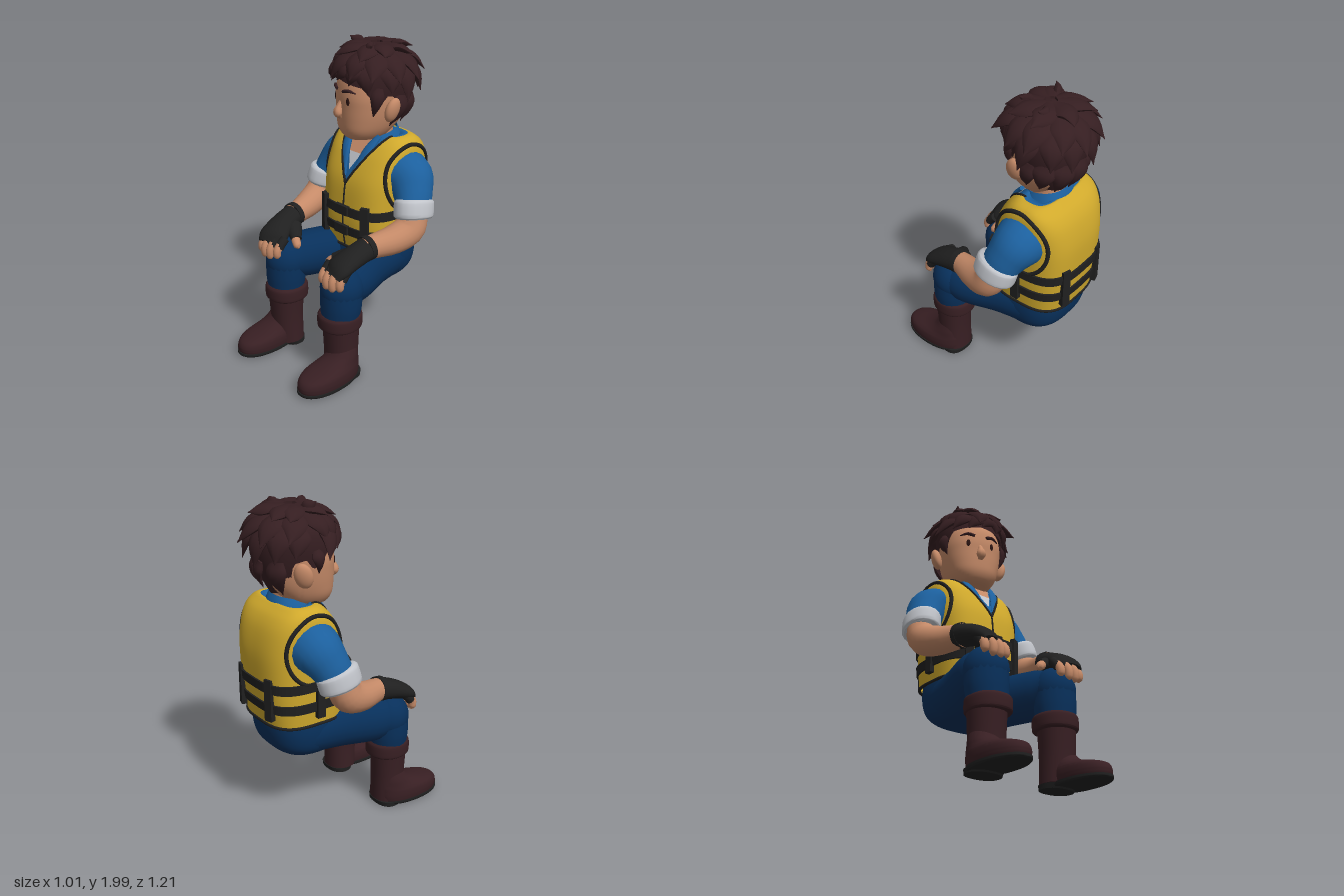
import * as THREE from 'three';
import { toCreasedNormals } from 'three/addons/utils/BufferGeometryUtils.js';

const V = (x, y, z) => new THREE.Vector3(x, y, z);
const mat = (name, color) => new THREE.MeshStandardMaterial({ name, color, side: THREE.DoubleSide });

// Catmull-Rom through rows of numbers, t in 0..1
function rowAt(rows, t) {
  const s = THREE.MathUtils.clamp(t, 0, 1) * (rows.length - 1);
  const i = Math.min(Math.floor(s), rows.length - 2), u = s - i;
  const a = rows[Math.max(i - 1, 0)], b = rows[i], c = rows[i + 1], d = rows[Math.min(i + 2, rows.length - 1)];
  return b.map((_, k) => 0.5 * (2 * b[k] + (c[k] - a[k]) * u + (2 * a[k] - 5 * b[k] + 4 * c[k] - d[k]) * u * u
    + (3 * b[k] - a[k] - 3 * c[k] + d[k]) * u * u * u));
}

// Rounded-box cross-sections stacked in y; rows are [y, halfWidth, zFront, zBack], phi runs from the front to +x
const stack = (rows, n = 2.4, cx = 0) => (phi, t, off = 0) => {
  const [y, rx, zf, zb] = rowAt(rows, t), rz = Math.max((zf - zb) / 2, 1e-4);
  const s = Math.sin(phi), c = Math.cos(phi);
  const r = (Math.abs(s / Math.max(rx, 1e-4)) ** n + Math.abs(c / rz) ** n) ** (-1 / n) + off;
  return V(cx + r * s, y, (zf + zb) / 2 + r * c);
};

// Height to parameter, for a stack
function tAt(f, y) {
  let a = 0, b = 1;
  for (let i = 0; i < 24; i++) {
    const m = (a + b) / 2;
    if (f(0, m).y < y) a = m; else b = m;
  }
  return a;
}

// Skin over closed rings of points, with optional end caps
function skin(rings, cap = true, crease = 0.9) {
  const all = rings.slice(), n = rings[0].length;
  const middle = (r) => {
    const c = r.reduce((s, p) => s.add(p), V(0, 0, 0)).divideScalar(n);
    return r.map(() => c);
  };
  if (cap) { all.unshift(middle(rings[0])); all.push(middle(rings[rings.length - 1])); }
  const idx = [];
  for (let j = 0; j < all.length - 1; j++) for (let i = 0; i < n; i++) {
    const a = j * n + i, b = j * n + (i + 1) % n;
    idx.push(a, b, b + n, a, b + n, a + n);
  }
  const g = new THREE.BufferGeometry().setFromPoints(all.flat());
  g.setIndex(idx);
  return toCreasedNormals(g, crease);
}

function sheet(f, { t0 = () => 0, t1 = () => 1, nu = 64, nv = 24, off = 0, cap = false } = {}) {
  const rings = [];
  for (let j = 0; j <= nv; j++) rings.push(Array.from({ length: nu }, (_, i) => {
    const phi = i / nu * Math.PI * 2;
    return f(phi, THREE.MathUtils.lerp(t0(phi), t1(phi), j / nv), off);
  }));
  return skin(rings, cap);
}

// Tapered limb along a curve; radii are [sideways, along up]
function limb(pts, radii, up = V(0, 1, 0), seg = 14, sides = 20) {
  const curve = new THREE.CatmullRomCurve3(pts), rings = [];
  for (let j = 0; j <= seg; j++) {
    const t = j / seg, p = curve.getPoint(t), T = curve.getTangent(t);
    const S = up.clone().cross(T).normalize(), N = T.clone().cross(S);
    const [w, h] = rowAt(radii, t);
    rings.push(Array.from({ length: sides }, (_, i) => {
      const a = i / sides * Math.PI * 2;
      return p.clone().addScaledVector(S, w * Math.cos(a)).addScaledVector(N, h * Math.sin(a));
    }));
  }
  return skin(rings);
}

const tube = (pts, r, closed = true) =>
  new THREE.TubeGeometry(new THREE.CatmullRomCurve3(pts, closed), pts.length * 2, r, 8, closed);

export function createModel() {
  const model = new THREE.Group();
  const M = {
    skin: mat('skin', 0xc58a68), hair: mat('dark brown hair', 0x351e21), vest: mat('yellow vest', 0xd0a92c),
    shirt: mat('blue shirt', 0x1c609e), trousers: mat('navy trousers', 0x08305b), cloth: mat('pale cloth', 0xc1c4ca),
    black: mat('black webbing', 0x202020), boot: mat('brown leather', 0x381f23), eye: mat('eye brown', 0x2c1512),
  };
  let parent = model;
  const add = (name, geo, m) => {
    const mesh = new THREE.Mesh(geo, m);
    mesh.name = name;
    parent.add(mesh);
    return mesh;
  };
  const ball = (name, m, p, r) => {
    const b = add(name, new THREE.SphereGeometry(1, 24, 16), m);
    b.position.set(...p);
    b.scale.set(...r);
    return b;
  };
  const ring = (f, n = 72) => Array.from({ length: n }, (_, i) => f(i / n * Math.PI * 2));

  // Vest, cut open in a V at the neck
  const torso = stack([[0.7, 0.265, -0.05, -0.555], [0.85, 0.275, -0.03, -0.575], [1, 0.28, -0.035, -0.585],
    [1.15, 0.285, -0.055, -0.585], [1.28, 0.29, -0.11, -0.56], [1.36, 0.282, -0.165, -0.52],
    [1.405, 0.255, -0.215, -0.47], [1.42, 0.205, -0.25, -0.44], [1.395, 0.155, -0.26, -0.42]], 3.2);
  const neckT = (phi) => {
    if (Math.cos(phi) <= 0) return 1;
    for (let t = 0.3; t < 1; t += 0.002) {
      const p = torso(phi, t);
      if (p.y > 1.13 && Math.abs(p.x) < 0.16 * (p.y - 1.13) / 0.27) return t;
    }
    return 1;
  };
  add('vest', sheet(torso, { t1: neckT, nu: 144, nv: 40 }), M.vest);
  add('vestNeckPiping', tube(ring((a) => torso(a, neckT(a)), 96), 0.008), M.black);
  add('vestHem', tube(ring((a) => torso(a, 0)), 0.01), M.black);
  add('zip', tube(Array.from({ length: 12 }, (_, i) => torso(0, i / 11 * neckT(0))), 0.006, false), M.black);
  const bodyT = (y) => {
    let t = 0;
    while (t < 0.8 && torso(0, t).y < y) t += 0.004;
    return t;
  };

  // Webbing belts, upright straps and buckles
  for (const [y0, y1] of [[0.925, 0.98], [0.795, 0.85]]) {
    const edge = (y, o) => ring((a) => torso(a, bodyT(y), o), 96);
    add('belt', skin([edge(y0, -0.01), edge(y0, 0.012), edge(y1, 0.012), edge(y1, -0.01)], false, 0.5), M.black);
  }
  const onVest = (name, phi, y, size) => {
    const t = bodyT(y), p = torso(phi, t, 0.006), d = torso(phi + 0.02, t).sub(torso(phi - 0.02, t));
    const b = add(name, new THREE.BoxGeometry(...size), M.black);
    b.position.copy(p);
    b.rotation.y = Math.atan2(-d.z, d.x);
  };
  for (const phi of [0.6, Math.PI / 2, Math.PI - 0.52]) for (const s of [1, -1]) onVest('uprightStrap', s * phi, 0.88, [0.052, 0.26, 0.034]);
  for (const y of [0.958, 0.824]) onVest('buckle', 0, y, [0.11, 0.06, 0.036]);

  // Shirt body, open throat, undershirt and collar
  add('shirtBody', sheet(torso, { t0: () => 0.3, off: -0.02 }), M.shirt);
  const panel = (name, m, ...pts) => add(name, new THREE.BufferGeometry().setFromPoints(pts), m).geometry.computeVertexNormals();
  const [a0, b0, a1, b1] = [V(-0.05, 1.31, -0.136), V(0.05, 1.31, -0.136), V(-0.09, 1.4, -0.209), V(0.09, 1.4, -0.209)];
  panel('undershirt', M.cloth, V(0, 1.21, -0.08), b0, a0);
  panel('throat', M.skin, a0, b0, b1, a0, b1, a1);
  const collar = stack([[1.36, 0.155, -0.2, -0.46], [1.41, 0.135, -0.21, -0.455], [1.46, 0.115, -0.22, -0.435]]);
  add('collar', sheet(collar, { t0: (a) => 0.25 + 0.25 * Math.cos(a), t1: (a) => 0.75 - 0.25 * Math.cos(a), nv: 8 }), M.shirt);
  add('neck', limb([V(0, 1.28, -0.35), V(0, 1.4, -0.32), V(0, 1.52, -0.3)], [[0.1, 0.1], [0.1, 0.105], [0.11, 0.11]], V(0, 0, 1)), M.skin);

  // Seat of the trousers
  add('hips', sheet(stack([[0.455, 0.13, -0.06, -0.37], [0.47, 0.2, -0.05, -0.44], [0.53, 0.25, -0.045, -0.505],
    [0.63, 0.268, -0.045, -0.53], [0.75, 0.255, -0.06, -0.53]], 2.8), { cap: true }), M.trousers);

  for (const s of [1, -1]) {
    const side = s > 0 ? 'left' : 'right';
    const P = (x, y, z) => V(s * x, y, z), Z = V(0, 0, 1), X = V(1, 0, 0);
    parent = new THREE.Group();
    parent.name = side + 'Limbs';
    model.add(parent);

    // Armhole, sleeve and rolled cuff
    add('collarFlap', limb([P(0.12, 1.425, -0.22), P(0.088, 1.335, -0.145), P(0.022, 1.17, -0.066)],
      [[0.02, 0.012], [0.03, 0.012], [0.01, 0.006]], V(0, 0.5, 1)), M.shirt);
    add('armholePiping', tube(ring((a) => {
      const y = 1.17 + 0.21 * Math.sin(a), z = -0.325 + 0.185 * Math.cos(a), t = bodyT(y);
      const f = torso(0, t).z, b = torso(Math.PI, t).z, w = torso(Math.PI / 2, t).x;
      return P(w * Math.max(1 - Math.abs((z - (f + b) / 2) / ((f - b) / 2)) ** 3.2, 0.05) ** (1 / 3.2), y, z);
    }, 32), 0.013), M.black);
    add('sleeve', limb([P(0.17, 1.185, -0.325), P(0.28, 1.17, -0.32), P(0.345, 1.1, -0.288), P(0.39, 1.01, -0.25)],
      [[0.175, 0.175], [0.155, 0.153], [0.12, 0.126], [0.096, 0.114]], Z), M.shirt);
    add('cuff', limb([P(0.382, 1.075, -0.263), P(0.386, 1.06, -0.259), P(0.402, 0.98, -0.241), P(0.405, 0.966, -0.238)],
      [[0.096, 0.122], [0.107, 0.136], [0.107, 0.136], [0.094, 0.122]], Z), M.cloth);

    // Forearm, fingerless glove and fingers
    add('forearm', limb([P(0.4, 1.0, -0.24), P(0.407, 0.91, -0.2), P(0.385, 0.865, -0.09), P(0.345, 0.85, 0.05), P(0.335, 0.845, 0.11)],
      [[0.09, 0.09], [0.098, 0.095], [0.09, 0.088], [0.075, 0.07], [0.072, 0.065]], X), M.skin);
    add('gloveRim', limb([P(0.337, 0.852, 0.07), P(0.334, 0.848, 0.105)], [[0.078, 0.076], [0.08, 0.076]]), M.black);
    add('glove', limb([P(0.336, 0.85, 0.085), P(0.325, 0.82, 0.19), P(0.303, 0.775, 0.285), P(0.29, 0.735, 0.325)],
      [[0.077, 0.07], [0.083, 0.062], [0.1, 0.05], [0.088, 0.034]]), M.black);
    for (const [i, x] of [0.362, 0.314, 0.264, 0.213].entries()) {
      const d = i === 0 || i === 3 ? 0.015 : 0;
      add('fingerSleeve', limb([P(x, 0.775, 0.285 - d), P(x, 0.745, 0.318 - d), P(x, 0.722, 0.335 - d)],
        [[0.03, 0.03], [0.03, 0.03], [0.03, 0.03]], Z, 6, 12), M.black);
      add('finger', limb([P(x, 0.75, 0.32 - d), P(x, 0.71, 0.35 - d), P(x, 0.66 + d, 0.35 - d), P(x, 0.642 + d, 0.342 - d)],
        [[0.025, 0.025], [0.027, 0.026], [0.024, 0.023], [0.007, 0.007]], Z, 10, 12), M.skin);
    }
    add('thumbSleeve', limb([P(0.27, 0.81, 0.15), P(0.215, 0.785, 0.185), P(0.175, 0.762, 0.207)],
      [[0.052, 0.042], [0.044, 0.037], [0.034, 0.033]]), M.black);
    add('thumb', limb([P(0.2, 0.775, 0.2), P(0.165, 0.752, 0.217), P(0.142, 0.732, 0.226), P(0.131, 0.722, 0.228)],
      [[0.028, 0.028], [0.028, 0.028], [0.023, 0.023], [0.007, 0.007]], undefined, 10, 12), M.skin);

    // Trouser leg, bent at the knee
    add('thigh', limb([P(0.13, 0.61, -0.36), P(0.165, 0.61, -0.1), P(0.235, 0.61, 0.12), P(0.255, 0.61, 0.24)],
      [[0.13, 0.15], [0.14, 0.155], [0.14, 0.152], [0.12, 0.125]]), M.trousers);
    ball('knee', M.trousers, [s * 0.26, 0.605, 0.222], [0.132, 0.146, 0.138]);
    add('shin', limb([P(0.26, 0.62, 0.225), P(0.26, 0.5, 0.23), P(0.257, 0.4, 0.235)],
      [[0.128, 0.132], [0.128, 0.128], [0.118, 0.118]], Z), M.trousers);

    // Boot
    add('bootCuff', sheet(stack([[0.345, 0.122, 0.358, 0.105], [0.36, 0.13, 0.37, 0.097], [0.42, 0.13, 0.37, 0.097],
      [0.44, 0.12, 0.36, 0.107]], 2.2, s * 0.253), { cap: true }), M.boot);
    add('bootShaft', sheet(stack([[0.03, 0.108, 0.33, 0.13], [0.2, 0.105, 0.335, 0.13], [0.37, 0.112, 0.345, 0.122]], 2.2, s * 0.262), { cap: true }), M.boot);
    add('bootFoot', sheet(stack([[0.025, 0.112, 0.59, 0.15], [0.06, 0.117, 0.597, 0.145], [0.1, 0.114, 0.578, 0.145],
      [0.122, 0.105, 0.52, 0.145], [0.143, 0.095, 0.43, 0.15], [0.175, 0.085, 0.355, 0.155], [0.22, 0.07, 0.31, 0.16]],
      2.2, s * 0.297), { cap: true }), M.boot);
    add('sole', sheet(stack([[0.01, 0.113, 0.59, 0.16], [0.018, 0.118, 0.6, 0.15], [0.034, 0.118, 0.6, 0.15]], 2.2, s * 0.297), { nv: 6, cap: true }), M.black);
    add('heel', sheet(stack([[0, 0.11, 0.29, 0.132], [0.03, 0.112, 0.31, 0.126]], 2.4, s * 0.268), { nv: 3, cap: true }), M.black);
  }

  // Head, turned slightly to its right
  const head = new THREE.Group();
  head.name = 'head';
  head.position.set(-0.005, 0, -0.3);
  head.rotation.y = -0.3;
  model.add(head);
  parent = head;
  const face = stack([[1.385, 0.06, 0.15, 0], [1.4, 0.11, 0.195, -0.05], [1.45, 0.15, 0.225, -0.1], [1.52, 0.175, 0.233, -0.16],
    [1.6, 0.19, 0.235, -0.19], [1.68, 0.195, 0.235, -0.2], [1.78, 0.18, 0.21, -0.2], [1.86, 0.12, 0.13, -0.16], [1.9, 0.01, 0.01, -0.03]]);
  add('face', sheet(face, { cap: true, nv: 32 }), M.skin);
  add('nose', limb([V(0, 1.64, 0.222), V(0, 1.6, 0.237), V(0, 1.56, 0.25), V(0, 1.53, 0.232)],
    [[0.012, 0.012], [0.02, 0.022], [0.031, 0.028], [0.014, 0.012]], V(0, 0, 1)), M.skin);
  for (const s of [1, -1]) {
    ball('ear', M.skin, [s * 0.224, 1.605, 0], [0.034, 0.077, 0.054]).rotation.set(-0.2, s * 0.4, -s * 0.15);
    ball('eye', M.eye, [s * 0.08, 1.645, 0.222], [0.014, 0.026, 0.008]).rotation.y = s * 0.3;
    add('eyebrow', limb([V(s * 0.04, 1.7, 0.236), V(s * 0.085, 1.712, 0.224), V(s * 0.13, 1.702, 0.196)],
      [[0.01, 0.01], [0.01, 0.011], [0.003, 0.005]], V(0, 0, 1), 8, 10), M.hair);
  }

  // Hair cap with an uneven hairline
  const hair = stack([[1.45, 0.11, 0.2, -0.13], [1.55, 0.175, 0.23, -0.185], [1.65, 0.203, 0.24, -0.22], [1.75, 0.218, 0.243, -0.232],
    [1.84, 0.208, 0.22, -0.217], [1.9, 0.163, 0.17, -0.172], [1.945, 0.09, 0.08, -0.1], [1.96, 0.004, 0, -0.01]], 2.2);
  const hairline = [[0, 1.77], [0.8, 1.74], [1.1, 1.65], [1.3, 1.63], [1.5, 1.69], [1.85, 1.67], [2.1, 1.5], [3.15, 1.455]];
  const lineY = (phi) => {
    const a = Math.abs(Math.atan2(Math.sin(phi), Math.cos(phi)));
    const i = Math.max(1, hairline.findIndex((h) => h[0] >= a)), [p, q] = [hairline[i - 1], hairline[i]];
    return THREE.MathUtils.mapLinear(a, p[0], q[0], p[1], q[1]);
  };
  add('hairCap', sheet(hair, { t0: (a) => tAt(hair, lineY(a)), nu: 80, nv: 28 }), M.hair);

  // Pointed locks lying on the cap, from a start angle and height to a tip pushed outward
  const lock = (phi0, y0, phi1, y1, push, lift, w) => {
    const mid = (phi0 + phi1) / 2;
    const a = hair(phi0, tAt(hair, y0), -0.012), b = hair(mid, tAt(hair, y0 * 0.55 + y1 * 0.45), 0.01 + push * 0.25);
    const c = hair(phi1, tAt(hair, y1), push);
    b.y += lift * 0.5;
    c.y += lift;
    add('hairLock', limb([a, b, c], [[w * 0.7, 0.016], [w, 0.026], [w * 0.6, 0.018], [0.002, 0.002]],
      V(Math.sin(mid), 0.6, Math.cos(mid)), 10, 10), M.hair);
  };
  let seed = 7;
  const rnd = () => (seed = seed * 16807 % 2147483647) / 2147483647 - 0.5;
  // [count, start height, tip height, outward push, lift, half width]
  for (const [n, y0, y1, push, lift, w] of [[13, 1.68, 1.49, 0.022, 0, 0.065], [12, 1.86, 1.665, 0.062, 0, 0.074],
    [11, 1.925, 1.775, 0.078, 0.012, 0.075], [8, 1.955, 1.875, 0.07, 0.035, 0.07]]) {
    for (let i = 0; i < n; i++) {
      const phi = (i + rnd() * 0.5) / n * Math.PI * 2, c = Math.cos(phi), front = c > 0.45;
      if (y0 < 1.7 && c > -0.4 || front && y1 < 1.7) continue;
      const overEar = y1 < 1.7 && c > -0.35 ? 0.055 : 0;
      lock(phi, y0, phi - 0.12 + rnd() * 0.25, y1 + overEar + rnd() * 0.04, push * (front ? 0.5 : 1) + rnd() * 0.02, lift, w);
    }
  }
  // Fringe swept towards its right, sideburns and crown tufts
  for (const [p0, p1, y1, push] of [[0.8, 0.95, 1.7, 0.015], [0.55, 0.45, 1.75, 0.015], [0.3, 0.02, 1.765, 0.018],
    [0, -0.35, 1.74, 0.02], [-0.35, -0.75, 1.735, 0.04], [-0.75, -1.15, 1.7, 0.09]]) lock(p0, 1.87, p1, y1, push, 0, 0.065);
  lock(1.2, 1.74, 1.13, 1.555, 0.004, 0, 0.042);
  lock(-1.2, 1.74, -1.13, 1.6, 0.002, 0, 0.042);
  for (const [p0, p1, lift] of [[-1, -0.8, 0.06], [0.6, 0.9, 0.045], [2.4, 2.1, 0.05]]) lock(p0, 1.94, p1, 1.932, 0.045, lift, 0.04);
  return model;
}
